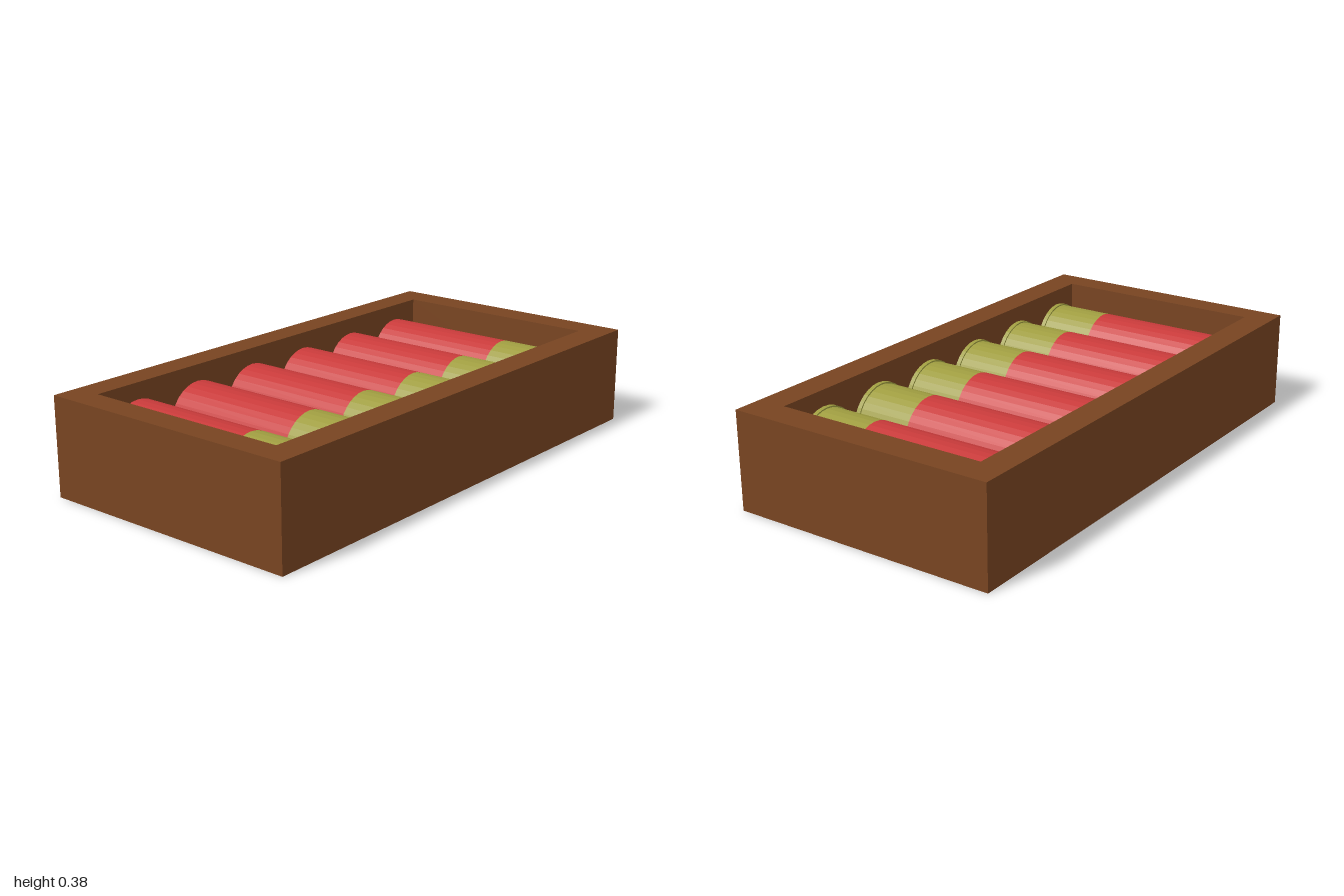
import * as THREE from 'three';

export function createModel() {
  const model = new THREE.Group();
  model.name = 'cartridgeTray';

  const mat = (name, color) => {
    const m = new THREE.MeshStandardMaterial({ color });
    m.name = name;
    return m;
  };
  const wood = mat('brown wood', 0x784421);
  const red = mat('red casing', 0xc83a3a);
  const brass = mat('dull brass', 0x9f9d40);
  // facets on the cartridges
  red.flatShading = brass.flatShading = true;

  const add = (parent, name, geometry, material) => {
    const mesh = new THREE.Mesh(geometry, material);
    mesh.name = name;
    parent.add(mesh);
    return mesh;
  };

  // Tray walls: a rectangular frame extruded upward, standing on a floor panel
  const height = 0.375, floor = 0.055;
  const rect = (Type, x0, x1, y0, y1) => new Type([
    new THREE.Vector2(x0, y0), new THREE.Vector2(x1, y0),
    new THREE.Vector2(x1, y1), new THREE.Vector2(x0, y1),
  ]);
  const frame = rect(THREE.Shape, -0.525, 0.525, -1, 1);
  frame.holes.push(rect(THREE.Path, -0.417, 0.413, -0.897, 0.884));
  const walls = new THREE.ExtrudeGeometry(frame, { depth: height, bevelEnabled: false });
  walls.rotateX(-Math.PI / 2);
  add(model, 'trayWalls', walls, wood);

  const base = new THREE.BoxGeometry(0.83, floor, 1.781);
  base.translate(-0.002, floor / 2, 0.0065);
  add(model, 'trayFloor', base, wood);

  // Cylinder lying along x from x0 to x1
  const barrel = (x0, x1, radius) => {
    const g = new THREE.CylinderGeometry(radius, radius, x1 - x0, 32);
    g.rotateZ(-Math.PI / 2);
    g.translate((x0 + x1) / 2, 0, 0);
    return g;
  };
  const casing = barrel(-0.392, 0.155, 0.133);
  const cap = barrel(0.155, 0.37, 0.133);
  const rim = barrel(0.37, 0.387, 0.138);

  // Six cartridges in a row
  for (let i = 0; i < 6; i++) {
    const cartridge = new THREE.Group();
    cartridge.name = `cartridge${i + 1}`;
    cartridge.position.set(0, 0.19, -0.719 + i * 0.2915);
    add(cartridge, 'casing', casing, red);
    add(cartridge, 'brassCap', cap, brass);
    add(cartridge, 'brassRim', rim, brass);
    model.add(cartridge);
  }

  return model;
}
